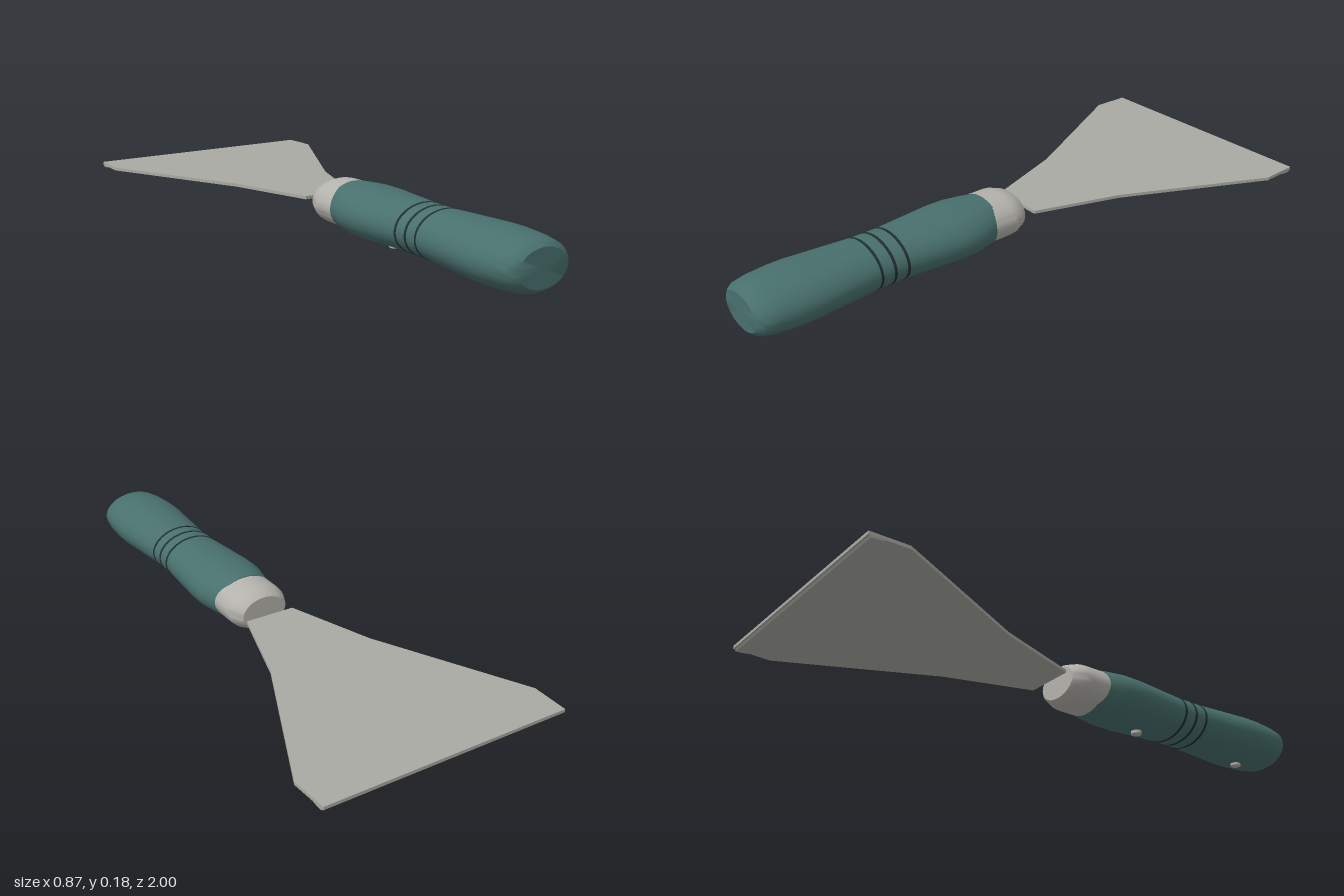
import * as THREE from 'three';
import { toCreasedNormals } from 'three/addons/utils/BufferGeometryUtils.js';

const AXIS_Y = 0.096;

function material(name, color) {
  const m = new THREE.MeshStandardMaterial({ color });
  m.name = name;
  return m;
}

// Closed loft through elliptical sections [z, rx, ry], ordered from low z to high z
function ellipseLoft(sections, sides = 48) {
  const positions = [], index = [];
  for (const [z, rx, ry] of sections) {
    for (let i = 0; i < sides; i++) {
      const a = (i / sides) * Math.PI * 2;
      positions.push(Math.cos(a) * rx, Math.sin(a) * ry, z);
    }
  }
  const last = sections.length - 1;
  for (let s = 0; s < last; s++) {
    for (let i = 0; i < sides; i++) {
      const j = (i + 1) % sides;
      const a = s * sides + i, b = s * sides + j;
      index.push(a, b, b + sides, a, b + sides, a + sides);
    }
  }
  // end caps
  const c0 = positions.length / 3;
  positions.push(0, 0, sections[0][0], 0, 0, sections[last][0]);
  for (let i = 0; i < sides; i++) {
    const j = (i + 1) % sides;
    index.push(c0, j, i, c0 + 1, last * sides + i, last * sides + j);
  }
  const g = new THREE.BufferGeometry();
  g.setAttribute('position', new THREE.Float32BufferAttribute(positions, 3));
  g.setIndex(index);
  return toCreasedNormals(g, 0.7);
}

export function createModel() {
  const group = new THREE.Group();
  const teal = material('teal grip', 0x48706d);
  const dark = material('dark groove', 0x1f2f2e);
  const steel = material('blade steel', 0xa9aaa3);
  const ferruleMetal = material('ferrule metal', 0xb4b2ac);

  const add = (name, geometry, mat, y = 0, z = 0) => {
    const mesh = new THREE.Mesh(geometry, mat);
    mesh.name = name;
    mesh.position.set(0, y, z);
    group.add(mesh);
    return mesh;
  };

  // Handle: waisted oval grip
  add('handle', ellipseLoft([
    [0.1, 0.104, 0.080], [0.13, 0.113, 0.083], [0.2, 0.130, 0.087],
    [0.27, 0.130, 0.087], [0.38, 0.120, 0.083], [0.47, 0.111, 0.080],
    [0.57, 0.111, 0.080], [0.68, 0.121, 0.084], [0.8, 0.132, 0.088],
    [0.86, 0.131, 0.088], [0.93, 0.125, 0.084], [0.975, 0.116, 0.077],
    [0.99, 0.104, 0.069], [1, 0.09, 0.06],
  ]), teal, AXIS_Y);

  // Thin dark rings around the waist
  for (const z of [0.475, 0.525, 0.575]) {
    add('gripRing', ellipseLoft([
      [-0.005, 0.1115, 0.0805], [-0.003, 0.1125, 0.0815],
      [0.003, 0.1125, 0.0815], [0.005, 0.1115, 0.0805],
    ]), dark, AXIS_Y, z);
  }

  // Ferrule with a tapered nose
  add('ferrule', ellipseLoft([
    [-0.025, 0.082, 0.056], [-0.015, 0.092, 0.064], [0.02, 0.108, 0.076],
    [0.04, 0.110, 0.078], [0.14, 0.110, 0.078],
  ]), ferruleMetal, AXIS_Y);

  // Rivets under the handle
  for (const z of [0.33, 0.83]) {
    add('rivet', new THREE.CylinderGeometry(0.019, 0.019, 0.03, 20), ferruleMetal, 0.015, z);
  }

  // Blade: flared flat plate
  const half = [[0.09, -0.06], [0.19, -0.365], [0.435, -0.87], [0.43, -1]];
  const outline = [...half, ...half.map(([x, z]) => [-x, z]).reverse()];
  const bladeShape = new THREE.Shape(outline.map(([x, z]) => new THREE.Vector2(x, -z)));
  const bladeGeometry = new THREE.ExtrudeGeometry(bladeShape, { depth: 0.011, bevelEnabled: false });
  bladeGeometry.rotateX(-Math.PI / 2);
  add('blade', bladeGeometry, steel, 0.092);

  // Shallow wedge lip under the working edge
  const lipShape = new THREE.Shape([[0.94, 0], [0.995, 0], [0.99, -0.007], [0.96, -0.005]]
    .map(([x, y]) => new THREE.Vector2(x, y)));
  const lipGeometry = new THREE.ExtrudeGeometry(lipShape, { depth: 0.86, bevelEnabled: false });
  lipGeometry.translate(0, 0, -0.43);
  lipGeometry.rotateY(Math.PI / 2);
  add('bladeLip', lipGeometry, steel, 0.0925);

  return group;
}
